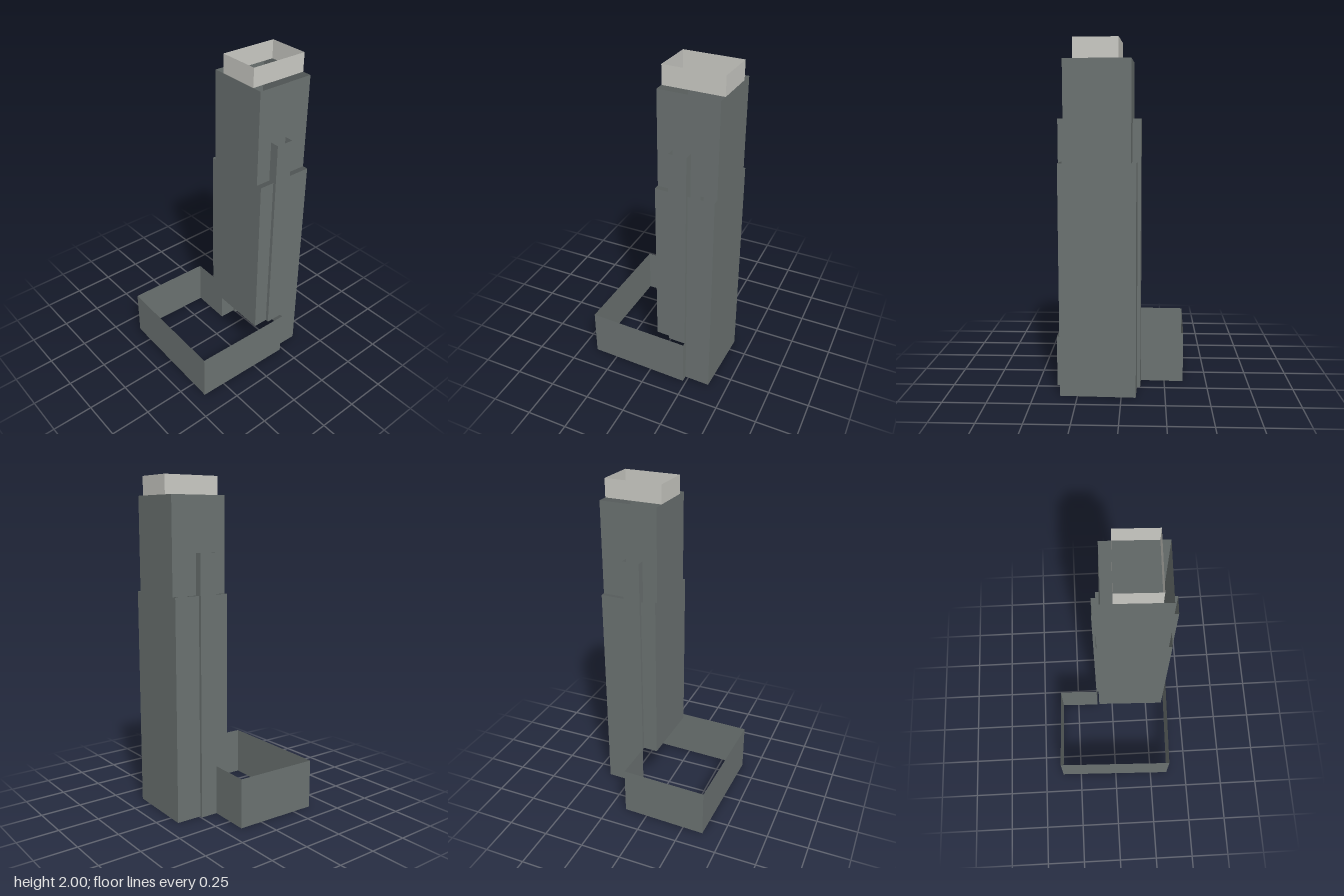
import * as THREE from 'three';

export function createModel() {
  const group = new THREE.Group();
  const stone = new THREE.MeshStandardMaterial({ color: 0x6b7271, side: THREE.DoubleSide });
  stone.name = 'dark grey facade';
  const pale = new THREE.MeshStandardMaterial({ color: 0xcacac4, side: THREE.DoubleSide });
  pale.name = 'pale crown';

  // Open vertical wall sheets along a plan path of [x, z] corners
  function wall(name, path, y0, y1, material = stone) {
    const pos = [];
    for (let i = 0; i < path.length - 1; i++) {
      const [ax, az] = path[i], [bx, bz] = path[i + 1];
      pos.push(ax, y0, az, bx, y0, bz, bx, y1, bz);
      pos.push(ax, y0, az, bx, y1, bz, ax, y1, az);
    }
    const geometry = new THREE.BufferGeometry();
    geometry.setAttribute('position', new THREE.Float32BufferAttribute(pos, 3));
    geometry.computeVertexNormals();
    const mesh = new THREE.Mesh(geometry, material);
    mesh.name = name;
    group.add(mesh);
  }

  // Plan lines shared by the parts
  const left = 0.045, right = 0.397;              // tower sides
  const ribL = 0.136, ribR = 0.241;               // central rib
  const front = 0.338, back = -0.095;             // lower tower
  const upFront = 0.304, upBack = -0.067;         // upper tower
  const ribFront = 0.358, ribBack = -0.114;
  const roof = 0.3, setback = 1.33, ribTop = 1.57, shoulder = 1.89;

  // Low wing, open where it meets the tower
  wall('podium', [[ribL, ribBack], [ribL, -0.366], [-0.389, -0.366], [-0.389, 0.378],
    [ribR, 0.378], [ribR, front]], 0, roof);

  // Lower tower: right half reaches the ground, left half rises from the podium roof
  wall('lowerTowerRight', [[ribR, front], [right, front], [right, back], [ribR, back]], 0, setback);
  wall('lowerTowerLeft', [[ribL, back], [left, back], [left, front], [ribL, front]], roof, setback);

  // Upper tower
  wall('upperTower', [[left, upFront], [right, upFront], [right, upBack], [left, upBack],
    [left, upFront]], setback, shoulder);

  // Ribs on front and back
  wall('frontRib', [[ribL, upFront], [ribL, ribFront], [ribR, ribFront], [ribR, upFront]], roof, ribTop);
  wall('backRibBase', [[ribL, ribBack], [ribR, ribBack], [ribR, back]], 0, roof);
  wall('backRib', [[ribL, upBack], [ribL, ribBack], [ribR, ribBack], [ribR, upBack]], roof, ribTop);

  // Pale parapet ring
  wall('crown', [[left, 0.248], [right, 0.248], [right, 0], [left, 0], [left, 0.248]], shoulder, 2, pale);

  // Slight turn of the whole building
  group.rotation.y = -0.03;
  return group;
}
